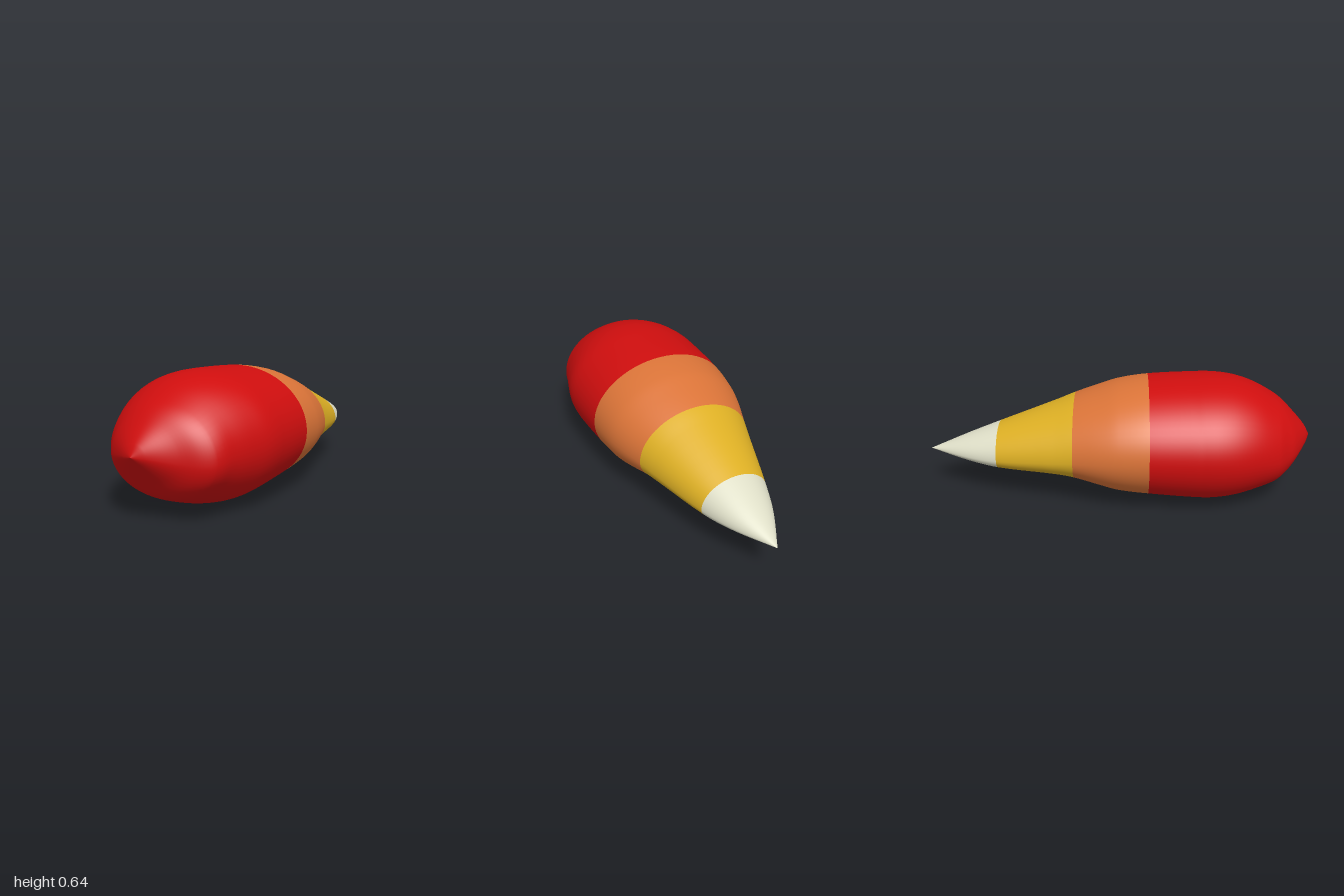
import * as THREE from 'three';

// Cross-sections from nose to tail: z, top, bottom, half width at +x, half width at -x, height of the widest line
const stations = [
  [1.0, 0.315, 0.315, 0.0, 0.0, 0.315],
  [0.97, 0.37, 0.275, 0.06, 0.075, 0.31],
  [0.9, 0.45, 0.185, 0.17, 0.19, 0.29],
  [0.85, 0.5, 0.12, 0.26, 0.24, 0.28],
  [0.8, 0.535, 0.085, 0.31, 0.285, 0.28],
  [0.7, 0.59, 0.047, 0.34, 0.34, 0.3],
  [0.6, 0.622, 0.018, 0.37, 0.378, 0.31],
  [0.5, 0.634, 0.002, 0.395, 0.397, 0.317],
  [0.4, 0.634, 0.002, 0.4, 0.4, 0.318],
  [0.15, 0.621, 0.025, 0.391, 0.393, 0.318],
  [0.0, 0.598, 0.045, 0.375, 0.375, 0.31],
  [-0.1, 0.568, 0.075, 0.35, 0.35, 0.3],
  [-0.23, 0.524, 0.115, 0.305, 0.305, 0.285],
  [-0.33, 0.484, 0.132, 0.273, 0.273, 0.27],
  [-0.63, 0.372, 0.152, 0.178, 0.178, 0.235],
  [-0.8, 0.307, 0.183, 0.11, 0.11, 0.23],
  [-1.0, 0.228, 0.228, 0.0, 0.0, 0.228],
];
const SIDES = 64;
const STEPS = 5;

// Slope of column k at station i, from its neighbours
function slope(i, k) {
  const a = stations[Math.max(i - 1, 0)];
  const b = stations[Math.min(i + 1, stations.length - 1)];
  return (b[k] - a[k]) / (b[0] - a[0]);
}

// Smooth interpolation of a whole section between stations i and i + 1
function sectionAt(i, t) {
  const a = stations[i], b = stations[i + 1], h = b[0] - a[0];
  const t2 = t * t, t3 = t2 * t;
  return a.map((v, k) => k === 0 ? v + h * t :
    (2 * t3 - 3 * t2 + 1) * v + (t3 - 2 * t2 + t) * h * slope(i, k) +
    (3 * t2 - 2 * t3) * b[k] + (t3 - t2) * h * slope(i + 1, k));
}

// Rings of the whole body
function buildRings() {
  const sections = [];
  for (let i = 0; i < stations.length - 1; i++) {
    for (let s = 0; s < STEPS; s++) sections.push(sectionAt(i, s / STEPS));
  }
  sections.push(stations[stations.length - 1]);
  const positions = [];
  for (const [z, top, bottom, left, right, mid] of sections) {
    for (let j = 0; j < SIDES; j++) {
      const c = Math.cos(j / SIDES * Math.PI * 2), s = Math.sin(j / SIDES * Math.PI * 2);
      positions.push(c * (c > 0 ? left : right), mid + s * (s > 0 ? top - mid : mid - bottom), z);
    }
  }
  return positions;
}

function ringIndices(count) {
  const index = [];
  for (let i = 0; i < count - 1; i++) {
    for (let j = 0; j < SIDES; j++) {
      const a = i * SIDES + j, b = i * SIDES + (j + 1) % SIDES;
      index.push(a, a + SIDES, b, b, a + SIDES, b + SIDES);
    }
  }
  return index;
}

export function createModel() {
  const group = new THREE.Group();
  group.name = 'bandedCone';

  // Whole body first, so the normals run smoothly across the colour bands
  const positions = buildRings();
  const whole = new THREE.BufferGeometry();
  whole.setAttribute('position', new THREE.Float32BufferAttribute(positions, 3));
  whole.setIndex(ringIndices(positions.length / 3 / SIDES));
  whole.computeVertexNormals();
  const normals = whole.attributes.normal.array;

  // Colour bands, each from one station to another
  const bands = [
    ['redNose', 'red', 0xcf0e0e, 0, 9],
    ['orangeBand', 'orange', 0xdb7438, 9, 12],
    ['yellowBand', 'yellow', 0xdeb024, 12, 14],
    ['creamTip', 'cream', 0xdfdfc8, 14, 16],
  ];
  for (const [name, colorName, color, from, to] of bands) {
    const start = from * STEPS * SIDES * 3, end = (to * STEPS + 1) * SIDES * 3;
    const geometry = new THREE.BufferGeometry();
    geometry.setAttribute('position', new THREE.Float32BufferAttribute(positions.slice(start, end), 3));
    geometry.setAttribute('normal', new THREE.Float32BufferAttribute(normals.slice(start, end), 3));
    geometry.setIndex(ringIndices((to - from) * STEPS + 1));
    const material = new THREE.MeshStandardMaterial({ color });
    material.name = colorName;
    const mesh = new THREE.Mesh(geometry, material);
    mesh.name = name;
    group.add(mesh);
  }
  return group;
}
